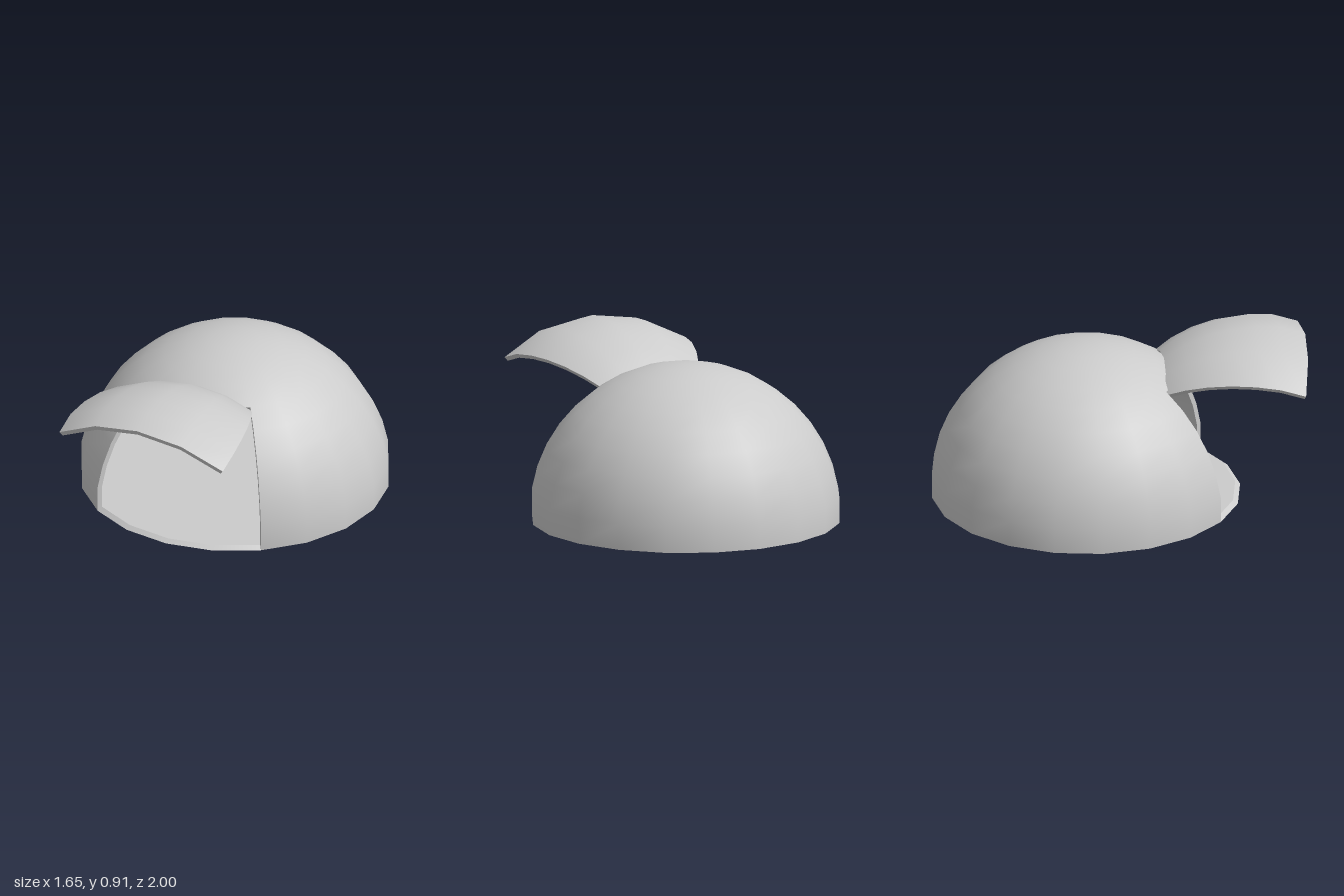
import * as THREE from 'three';

const R = 0.837;         // outer dome radius
const T = 0.026;         // shell thickness
const CY = 0.01;         // height of the dome's centre
const BASE = 0.826;      // radius at the ground
const SIDES = 20, RINGS = 10;
const DOOR_RINGS = 6;    // the doorway takes 4 columns by 6 rings

const grey = () => new THREE.MeshStandardMaterial({ color: 0xcccccc, side: THREE.DoubleSide });

// Grid point on the outer (inset 0) or inner (inset T) dome
function point(i, j, inset) {
  const phi = (i / SIDES) * Math.PI * 2, lat = (j / RINGS) * Math.PI / 2;
  const r = j === 0 ? BASE - inset : (R - inset) * Math.cos(lat);
  const y = j === 0 ? 0 : CY + (R - inset) * Math.sin(lat);
  return new THREE.Vector3(r * Math.sin(phi), y, r * Math.cos(phi));
}

// Direction pointing straight out of the dome
function outward(i, j) {
  const phi = (i / SIDES) * Math.PI * 2, lat = (j / RINGS) * Math.PI / 2;
  return new THREE.Vector3(Math.cos(lat) * Math.sin(phi), Math.sin(lat), Math.cos(lat) * Math.cos(phi));
}

// Thick shell over every grid cell for which has(i, j) is true
function shell(has) {
  const pos = [], nor = [];
  const quad = (p, n) => [0, 1, 2, 0, 2, 3].forEach(k => {
    pos.push(...p[k].toArray());
    nor.push(...n[k].toArray());
  });
  const filled = (i, j) => j >= RINGS || (j >= 0 && has(i, j));
  for (let j = 0; j < RINGS; j++) for (let i = -SIDES / 2; i < SIDES / 2; i++) {
    if (!has(i, j)) continue;
    const c = [[i, j], [i + 1, j], [i + 1, j + 1], [i, j + 1]];
    const out = c.map(k => point(...k, 0)), inn = c.map(k => point(...k, T));
    const n = c.map(k => outward(...k));
    quad(out, n);
    quad([...inn].reverse(), n.map(v => v.clone().negate()).reverse());
    // Edge walls where the neighbouring cell is missing
    const next = [[i, j - 1], [i + 1, j], [i, j + 1], [i - 1, j]];
    next.forEach(([ni, nj], k) => {
      if (filled((ni + SIDES * 1.5) % SIDES - SIDES / 2, nj)) return;
      const m = (k + 1) % 4;
      const w = [out[k], inn[k], inn[m], out[m]];
      const f = w[1].clone().sub(w[0]).cross(w[2].clone().sub(w[0])).normalize();
      quad(w, [f, f, f, f]);
    });
  }
  const g = new THREE.BufferGeometry();
  g.setAttribute('position', new THREE.Float32BufferAttribute(pos, 3));
  g.setAttribute('normal', new THREE.Float32BufferAttribute(nor, 3));
  return g;
}

export function createModel() {
  const model = new THREE.Group();
  model.name = 'domeShelter';
  const add = (name, geometry, x, y, z) => {
    const mesh = new THREE.Mesh(geometry, grey());
    mesh.name = name;
    mesh.position.set(x, y, z);
    model.add(mesh);
    return mesh;
  };
  const inDoor = (i, j) => i >= -2 && i < 2 && j < DOOR_RINGS;
  const cz = -0.175;

  // Dome with the doorway left out
  add('dome', shell((i, j) => !inDoor(i, j)), 0, 0, cz);

  // Raised door: the missing piece, swung up about its bottom edge's midpoint
  const door = shell(inDoor).translate(0, 0, -BASE);
  add('door', door, 0, 0.86, 1).rotation.x = -THREE.MathUtils.degToRad(72);

  // Floor with a sloped rim down to the ground
  const floor = new THREE.CircleGeometry(BASE - T, SIDES, Math.PI / 2).rotateX(-Math.PI / 2);
  add('floor', floor, 0, 0.018, cz);
  const rim = new THREE.CylinderGeometry(BASE - T, BASE, 0.018, SIDES, 1, true);
  add('floorRim', rim, 0, 0.009, cz);

  return model;
}
